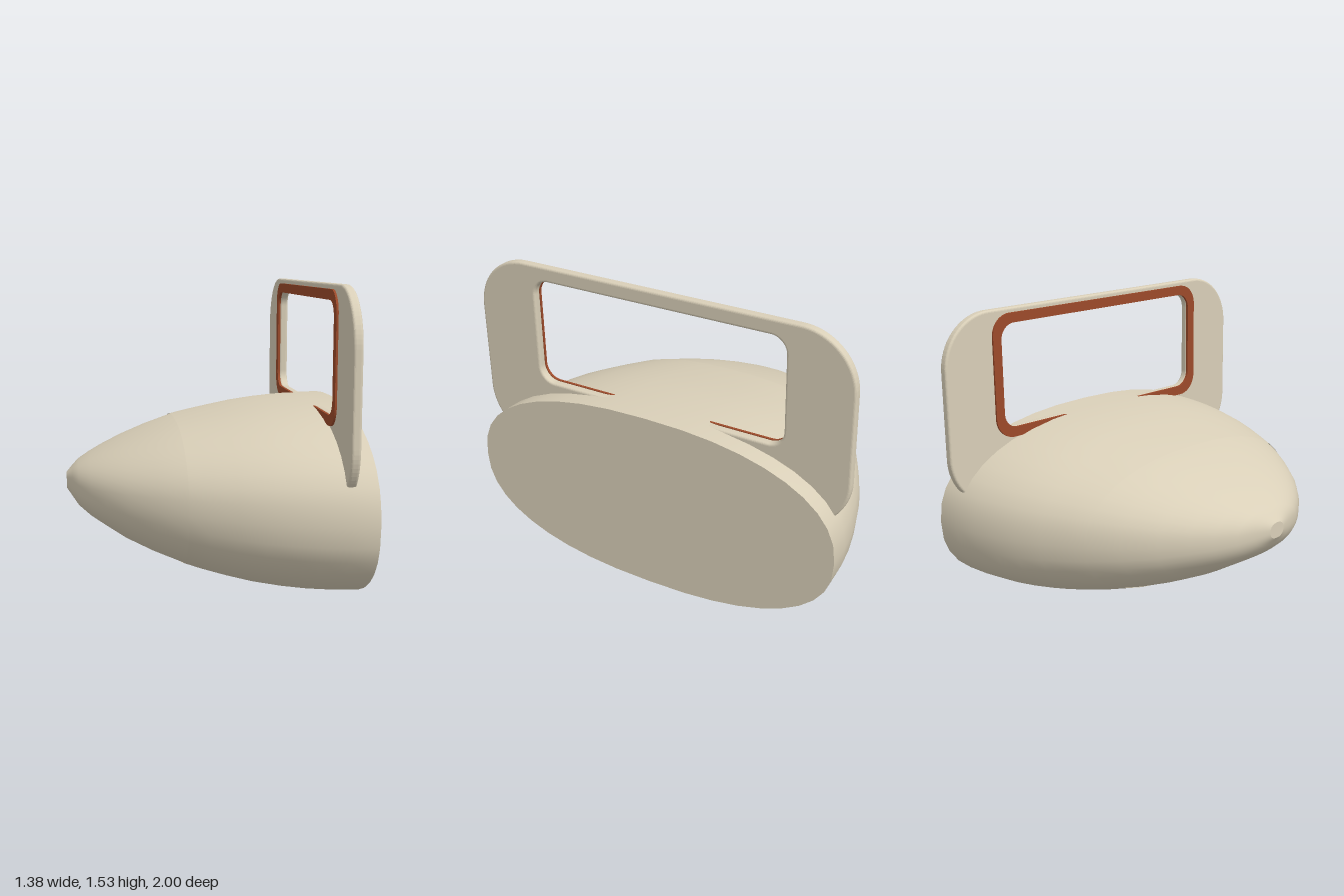
import * as THREE from 'three';

const shellMat = new THREE.MeshStandardMaterial({ color: 0xd9cfb8, side: THREE.DoubleSide });
const trimMat = new THREE.MeshStandardMaterial({ color: 0x9c4a2a });

// body stations along x: [x, top y, bottom y, half width]
const STATIONS = [
  [-0.69, 0.56, 0.48, 0.05], [-0.66, 0.592, 0.44, 0.14], [-0.63, 0.62, 0.40, 0.225],
  [-0.57, 0.655, 0.352, 0.325], [-0.5, 0.69, 0.31, 0.42], [-0.4, 0.735, 0.25, 0.53],
  [-0.27, 0.785, 0.19, 0.64], [-0.135, 0.829, 0.138, 0.735], [-0.04, 0.85, 0.108, 0.785],
  [0.08, 0.873, 0.076, 0.845], [0.2, 0.895, 0.048, 0.895], [0.32, 0.911, 0.028, 0.932],
  [0.44, 0.922, 0.014, 0.96], [0.56, 0.929, 0.006, 0.977], [0.69, 0.932, 0.002, 0.983],
];
const SIDES = 40;

// loft of rounded cross-sections; offset pushes the surface out, caps are flat
function loft(stations, offset, capStart, capEnd) {
  const pos = [], idx = [];
  const addRing = ([x, top, bottom, w]) => {
    const start = pos.length / 3, p = 2 / 2.35;
    const c = (top + bottom) / 2, h = (top - bottom) / 2 + offset;
    for (let j = 0; j < SIDES; j++) {
      const t = (j / SIDES) * Math.PI * 2, cs = Math.cos(t), sn = Math.sin(t);
      pos.push(x, c + h * Math.sign(sn) * Math.abs(sn) ** p,
        (w + offset) * Math.sign(cs) * Math.abs(cs) ** p);
    }
    return start;
  };
  const rings = stations.map(addRing);
  for (let i = 0; i < rings.length - 1; i++) {
    for (let j = 0; j < SIDES; j++) {
      const k = (j + 1) % SIDES, a = rings[i], b = rings[i + 1];
      idx.push(a + j, b + j, a + k, b + j, b + k, a + k);
    }
  }
  const addCap = (station, flip) => {
    const s = addRing(station), centre = pos.length / 3;
    pos.push(station[0], (station[1] + station[2]) / 2, 0);
    for (let j = 0; j < SIDES; j++) {
      const k = (j + 1) % SIDES;
      idx.push(centre, s + (flip ? k : j), s + (flip ? j : k));
    }
  };
  if (capStart) addCap(stations[0], false);
  if (capEnd) addCap(stations[stations.length - 1], true);
  const geo = new THREE.BufferGeometry();
  geo.setAttribute('position', new THREE.Float32BufferAttribute(pos, 3));
  geo.setIndex(idx);
  geo.computeVertexNormals();
  return geo;
}

// rounded rectangle outline, centred on the first axis
function roundedRect(path, w, y0, y1, r) {
  path.moveTo(-w + r, y0);
  path.lineTo(w - r, y0);
  path.absarc(w - r, y0 + r, r, -Math.PI / 2, 0);
  path.lineTo(w, y1 - r);
  path.absarc(w - r, y1 - r, r, 0, Math.PI / 2);
  path.lineTo(-w + r, y1);
  path.absarc(-w + r, y1 - r, r, Math.PI / 2, Math.PI);
  path.lineTo(-w, y0 + r);
  path.absarc(-w + r, y0 + r, r, Math.PI, Math.PI * 1.5);
  return path;
}

// upright frame in the yz plane, from x0 to x1
function frame(name, outer, inner, x0, x1, bevel, material) {
  const shape = roundedRect(new THREE.Shape(), ...outer);
  shape.holes.push(roundedRect(new THREE.Path(), ...inner));
  const geo = new THREE.ExtrudeGeometry(shape, {
    depth: x1 - x0 - 2 * bevel, curveSegments: 10, bevelEnabled: bevel > 0,
    bevelThickness: bevel, bevelSize: bevel, bevelOffset: -bevel, bevelSegments: 4,
  });
  const mesh = new THREE.Mesh(geo, material);
  mesh.name = name;
  mesh.rotation.y = Math.PI / 2;
  mesh.position.x = x0 + bevel;
  return mesh;
}

export function createModel() {
  const group = new THREE.Group();
  group.name = 'handledPod';

  // nose slides slightly under the rear shell, leaving a fine seam
  const nose = new THREE.Mesh(loft(STATIONS.slice(0, 9), 0, true, false), shellMat);
  nose.name = 'noseShell';
  const rear = new THREE.Mesh(loft(STATIONS.slice(7), 0.003, false, true), shellMat);
  rear.name = 'rearShell';
  group.add(nose, rear);

  // hoop handle, its lower bar buried in the body
  group.add(frame('handle', [1, 0.55, 1.53, 0.27], [0.67, 0.92, 1.455, 0.08],
    0.545, 0.59, 0.012, shellMat));
  // coloured strip around the opening
  group.add(frame('handleTrim', [0.72, 0.87, 1.505, 0.11], [0.67, 0.92, 1.455, 0.08],
    0.535, 0.548, 0, trimMat));
  return group;
}
